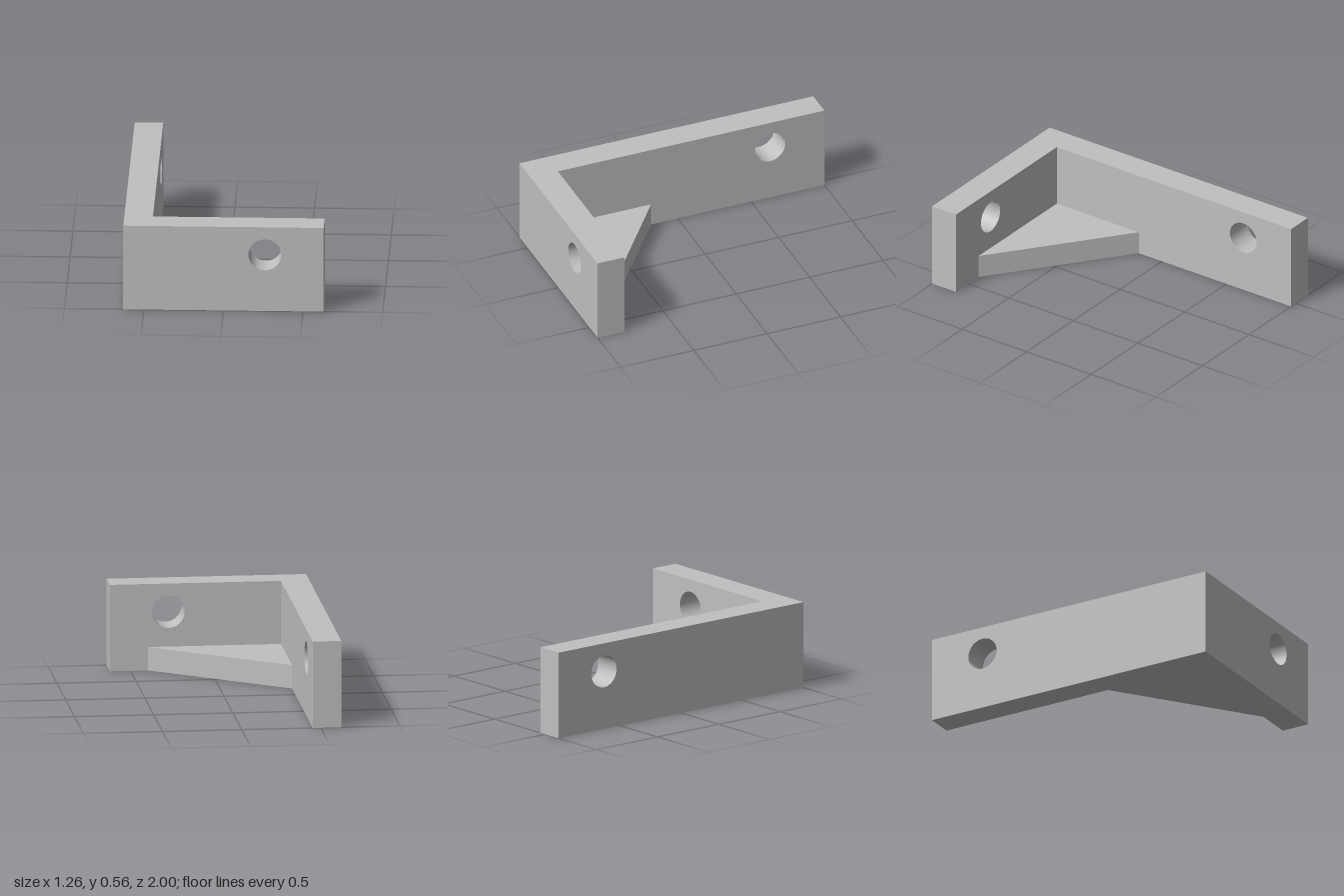
import * as THREE from 'three';
import { toCreasedNormals } from 'three/addons/utils/BufferGeometryUtils.js';

const HEIGHT = 0.555, HOLE_Y = 0.373, HOLE_R = 0.103;
const OUTER_X = -0.63, INNER_X = -0.45, INNER_Z = 0.815;

const extrude = (shape, depth) => toCreasedNormals(
  new THREE.ExtrudeGeometry(shape, { depth, bevelEnabled: false, curveSegments: 32 }), 0.6);

// Upright plate from a to b along its length, with one round bolt hole
function drilledPlate(a, b, holeAt, thickness) {
  const shape = new THREE.Shape([[a, 0], [b, 0], [b, HEIGHT], [a, HEIGHT]]
    .map(([x, y]) => new THREE.Vector2(x, y)));
  shape.holes.push(new THREE.Path().absarc(holeAt, HOLE_Y, HOLE_R, 0, Math.PI * 2, true));
  return extrude(shape, thickness);
}

export function createModel() {
  const group = new THREE.Group();
  group.name = 'cornerBracket';
  const gray = new THREE.MeshStandardMaterial({ color: 0xc0c0c0 });
  gray.name = 'light gray';

  const add = (name, geometry) => {
    const mesh = new THREE.Mesh(geometry, gray);
    mesh.name = name;
    group.add(mesh);
  };

  // Long arm runs the full depth on the right-hand side
  add('longArm', drilledPlate(-1, 1, -0.63, INNER_X - OUTER_X)
    .rotateY(-Math.PI / 2).translate(INNER_X, 0, 0));

  // Short arm closes the front, butting against the long arm
  add('shortArm', drilledPlate(INNER_X, 0.63, 0.26, 1 - INNER_Z)
    .translate(0, 0, INNER_Z));

  // Low triangular gusset in the inside corner, drawn in plan
  const plan = new THREE.Shape([
    new THREE.Vector2(INNER_X, -INNER_Z),
    new THREE.Vector2(0.39, -INNER_Z),
    new THREE.Vector2(INNER_X, -0.18),
  ]);
  add('gusset', extrude(plan, 0.15).rotateX(-Math.PI / 2));

  return group;
}
